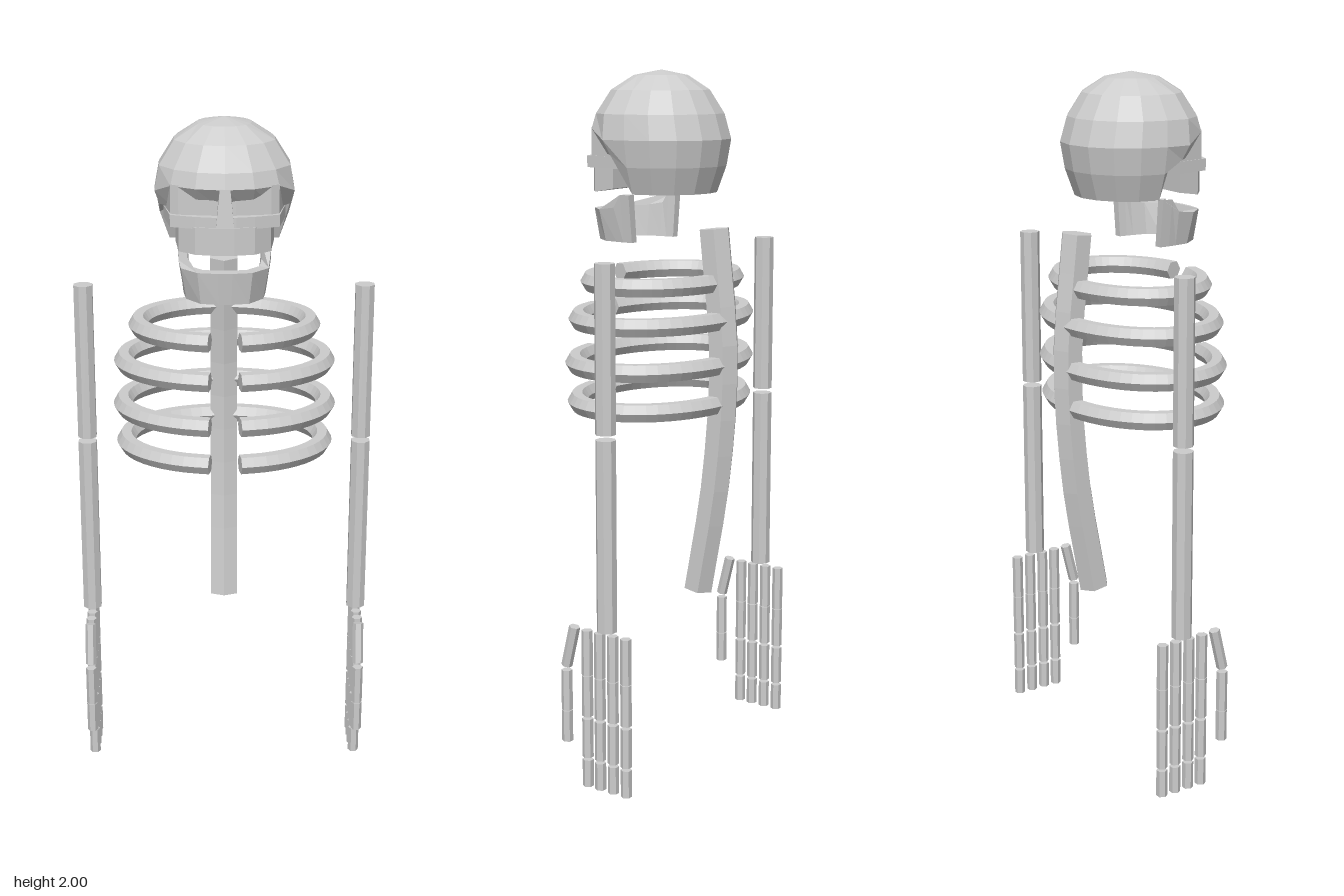
import * as THREE from 'three';

const bone = new THREE.MeshStandardMaterial({ color: 0xcccccc });
bone.name = 'boneGrey';

// Faceted mesh added to a parent
function add(parent, name, geometry) {
  const flat = geometry.index ? geometry.toNonIndexed() : geometry;
  flat.computeVertexNormals();
  const mesh = new THREE.Mesh(flat, bone);
  mesh.name = name;
  parent.add(mesh);
  return mesh;
}

// Move every vertex by a rule
function reshape(geometry, rule) {
  const p = geometry.attributes.position, v = new THREE.Vector3();
  for (let i = 0; i < p.count; i++) {
    v.fromBufferAttribute(p, i);
    rule(v);
    p.setXYZ(i, v.x, v.y, v.z);
  }
  return geometry;
}

// Capped hexagonal bar swept along a planar curve; axis is the plane's normal
function bentBar(radius, segments, curve, axis) {
  const g = new THREE.CylinderGeometry(radius, radius, 1, 6, segments);
  return reshape(g, v => {
    const t = v.y + 0.5;
    const side = new THREE.Vector3().crossVectors(axis, curve.getTangent(t)).normalize();
    const { x, z } = v;
    v.copy(curve.getPoint(t)).addScaledVector(axis, x).addScaledVector(side, z);
  });
}

// Upright bar between two heights
function bar(radius, sides, y0, y1, turn) {
  return new THREE.CylinderGeometry(radius, radius, y1 - y0, sides).rotateY(turn).translate(0, (y0 + y1) / 2, 0);
}

// Mirrored block from a half outline of [x, z] running back to front; inner < 1 hollows it to a U
function faceBlock(half, y0, y1, inner) {
  const mirror = pts => pts.concat(pts.map(([x, z]) => [-x, z]).reverse());
  let outline = mirror(half);
  if (inner) {
    const zb = half[0][1];
    const inside = half.map(([x, z]) => [x * inner, zb + (z - zb) * inner]);
    outline = outline.concat(mirror(inside).reverse());
  }
  const shape = new THREE.Shape(outline.map(([x, z]) => new THREE.Vector2(x, -z)));
  return new THREE.ExtrudeGeometry(shape, { depth: y1 - y0, bevelEnabled: false })
    .rotateX(-Math.PI / 2).translate(0, y0, 0);
}

function buildSkull() {
  const skull = new THREE.Group();
  skull.name = 'skull';

  // Cranium: faceted dome with flat base, front lower part pushed in under the brow
  const profile = [[0, 1.66], [0.155, 1.66], [0.182, 1.735], [0.195, 1.81], [0.182, 1.88],
    [0.14, 1.945], [0.077, 1.985], [0, 2]].map(([r, y]) => new THREE.Vector2(r, y));
  const dome = reshape(new THREE.LatheGeometry(profile, 16), v => {
    v.x *= v.z > 0.05 ? 1.06 : 0.985;
    if (v.y < 1.7 && v.z > 0.03) { v.y = 1.755; v.z *= 0.6; }
    else if (v.y > 1.7 && v.y < 1.76 && v.z > 0.06) { v.y = 1.77; v.z *= 0.84; }
    else if (v.y > 1.8 && v.y < 1.82 && v.z > 0.1) { v.y = 1.838; v.z += 0.007; }
    else if (v.y > 1.82) v.z += 0.008;
  });
  add(skull, 'cranium', dome);

  // Back walls of the eye sockets, cheekbones and upper jaw
  add(skull, 'eyeSockets', faceBlock([[0.165, 0.05], [0.147, 0.145], [0.125, 0.158], [0.03, 0.172]], 1.755, 1.842));
  const cheeks = faceBlock([[0.168, 0.04], [0.148, 0.16], [0.08, 0.185], [0.03, 0.195]], 1.73, 1.763, 0.7);
  add(skull, 'cheekbones', cheeks);
  const upper = faceBlock([[0.135, 0.08], [0.125, 0.15], [0.08, 0.188], [0.025, 0.2]], 1.66, 1.735);
  add(skull, 'upperJaw', reshape(upper, v => {
    if (v.z < 0.1) v.y += v.y > 1.7 ? 0.02 : 0.012;
  }));

  // Nose: ridge widening downwards
  const nose = new THREE.CylinderGeometry(0.02, 0.034, 0.1, 4).rotateY(Math.PI / 4);
  add(skull, 'noseBridge', nose.translate(0, 1.79, 0.19));

  // Lower jaw: U shape with raised rear ends and narrowed chin
  const jaw = faceBlock([[0.13, 0.03], [0.13, 0.06], [0.127, 0.085], [0.12, 0.14], [0.075, 0.19], [0.02, 0.2]],
    1.52, 1.61, 0.8);
  add(skull, 'lowerJaw', reshape(jaw, v => {
    if (v.y < 1.55) { v.x *= 0.88; v.z -= v.z > 0.13 ? 0.012 : 0; }
    else if (v.z < 0.065) v.y = 1.655;
    else if (v.z < 0.11) v.y = 1.618;
  }));
  return skull;
}

function buildTorso() {
  const torso = new THREE.Group();
  torso.name = 'torso';
  const V = (x, y, z) => new THREE.Vector3(x, y, z);

  // Bowed spine
  const spine = new THREE.CatmullRomCurve3([V(0, 0.503, -0.125), V(0, 0.85, -0.185), V(0, 1.2, -0.207), V(0, 1.563, -0.173)]);
  add(torso, 'spine', bentBar(0.046, 10, spine, V(1, 0, 0)));

  // Ribs: height, half width, half depth, centre z
  for (const [y, rx, rz, cz] of [[1.412, 0.245, 0.187, 0.002], [1.307, 0.288, 0.212, 0.005],
    [1.18, 0.291, 0.219, 0.012], [1.067, 0.284, 0.214, 0.012]]) {
    const a0 = Math.asin(0.042 / rx), pts = [];
    for (let i = 0; i <= 24; i++) {
      const a = a0 + (2 * Math.PI - 2 * a0) * i / 24;
      pts.push(V(rx * Math.sin(a), y, cz + rz * Math.cos(a)));
    }
    add(torso, 'rib', bentBar(0.028, 48, new THREE.CatmullRomCurve3(pts), V(0, 1, 0)));
  }
  return torso;
}

function buildArm(side) {
  const arm = new THREE.Group();
  arm.name = side > 0 ? 'leftArm' : 'rightArm';
  arm.position.x = side * 0.406;

  // Long bones
  for (const [name, y0, y1] of [['upperArm', 1.035, 1.5], ['forearm', 0.475, 1.02]])
    add(arm, name, bar(0.029, 8, y0, y1, Math.PI / 8)).position.z = -0.09;

  // Four fingers of four bones each
  for (const z of [-0.02, -0.064, -0.109, -0.154])
    for (const [y0, y1] of [[0.333, 0.465], [0.211, 0.331], [0.088, 0.203], [0, 0.08]])
      add(arm, 'fingerBone', bar(0.016, 6, y0, y1, Math.PI / 2)).position.z = z;

  // Thumb: slanted base bone and two upright bones
  const base = bar(0.016, 6, -0.062, 0.062, Math.PI / 2).rotateX(-0.24);
  add(arm, 'thumbBase', base).position.set(0, 0.407, 0.038);
  for (const [y0, y1] of [[0.214, 0.333], [0.12, 0.212]])
    add(arm, 'thumbBone', bar(0.016, 6, y0, y1, Math.PI / 2)).position.z = 0.053;
  return arm;
}

export function createModel() {
  const model = new THREE.Group();
  model.name = 'skeleton';
  model.add(buildSkull(), buildTorso(), buildArm(1), buildArm(-1));
  return model;
}
